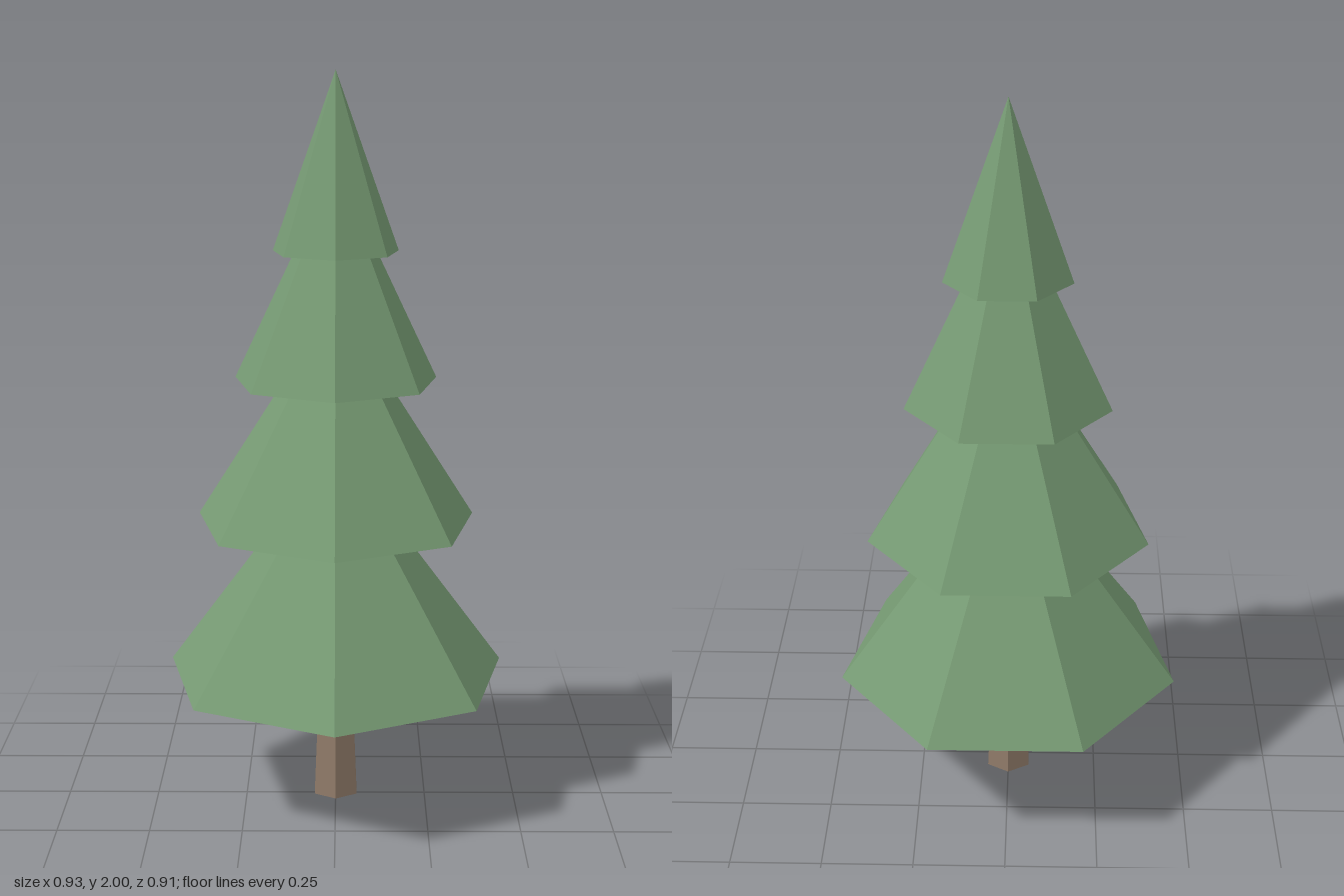
import * as THREE from 'three';

export function createModel() {
  const tree = new THREE.Group();
  tree.name = 'pineTree';

  const needles = new THREE.MeshStandardMaterial({ color: 0x769a73 });
  needles.name = 'needleGreen';
  const bark = new THREE.MeshStandardMaterial({ color: 0x907b69 });
  bark.name = 'barkBrown';

  const axisZ = -0.024; // seven-sided tiers sit slightly behind the centre

  // Adds a faceted, closed, tapering part standing on the height y
  function addPart(name, material, sides, bottomRadius, topRadius, y, height) {
    const geometry = new THREE.CylinderGeometry(topRadius, bottomRadius, height, sides).toNonIndexed();
    geometry.computeVertexNormals();
    const mesh = new THREE.Mesh(geometry, material);
    mesh.name = name;
    mesh.position.set(0, y + height / 2, axisZ);
    tree.add(mesh);
  }

  // Six-sided trunk, running up into the lowest tier
  addPart('trunk', bark, 6, 0.068, 0.046, 0, 0.48);

  // Foliage tiers from bottom to top: radius, base height, apex height
  const tiers = [
    [0.477, 0.355, 1.005],
    [0.389, 0.79, 1.4],
    [0.28, 1.18, 1.76],
    [0.172, 1.528, 2],
  ];
  tiers.forEach(([radius, base, apex], i) => {
    addPart(`foliageTier${i + 1}`, needles, 7, radius, 0, base, apex - base);
  });

  return tree;
}
